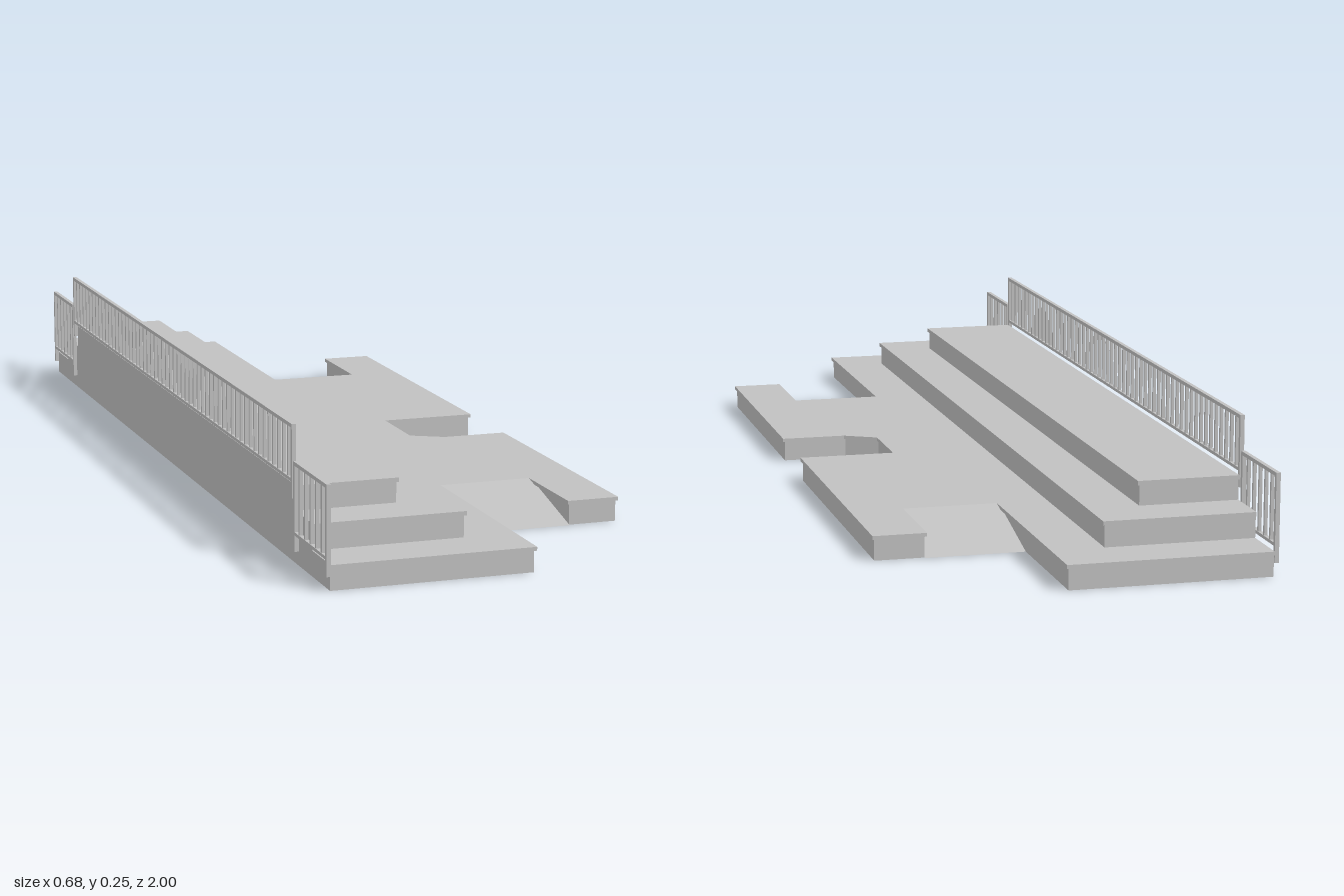
import * as THREE from 'three';

export function createModel() {
  const model = new THREE.Group();
  const concrete = new THREE.MeshStandardMaterial({ color: 0xc0c0c0 });
  concrete.name = 'concrete grey';
  const sheet = new THREE.MeshStandardMaterial({ color: 0xc0c0c0, side: THREE.DoubleSide });
  sheet.name = 'ramp grey';

  // box given by its min and max corners
  function box(parent, name, x0, x1, y0, y1, z0, z1) {
    const mesh = new THREE.Mesh(new THREE.BoxGeometry(x1 - x0, y1 - y0, z1 - z0), concrete);
    mesh.position.set((x0 + x1) / 2, (y0 + y1) / 2, (z0 + z1) / 2);
    mesh.name = name;
    parent.add(mesh);
  }

  // ground platform plan (x, z), pulled in by d, with ramp cut-outs and a front notch
  function platform(name, d, y0, y1) {
    const plan = [
      [-0.33, 1 - d], [0.053 - d, 1 - d], [0.053 - d, 0.52 - d], [0.235 + d, 0.52 - d],
      [0.235 + d, 0.712 - d], [0.337 - d, 0.712 - d], [0.337 - d, 0.135 + d],
      [0.208 - d, 0.135 + d], [0.145 - d, 0.1 + d], [0.145 - d, -0.05 - d], [0.337 - d, -0.05 - d],
      [0.337 - d, -0.717 + d], [0.235 + d, -0.717 + d], [0.235 + d, -0.525 + d],
      [0.053 - d, -0.525 + d], [0.053 - d, -1 + d], [-0.33, -1 + d],
    ];
    const shape = new THREE.Shape(plan.map(([x, z]) => new THREE.Vector2(x, -z)));
    const geo = new THREE.ExtrudeGeometry(shape, { depth: y1 - y0, bevelEnabled: false });
    geo.rotateX(-Math.PI / 2);
    const mesh = new THREE.Mesh(geo, concrete);
    mesh.position.y = y0;
    mesh.name = name;
    model.add(mesh);
  }
  platform('platformBase', 0.004, 0, 0.04);
  platform('platformSlab', 0, 0.04, 0.047);

  // two stepped tiers, each with an overhanging slab
  [[-0.042, 0.902, 0.047, 0.096], [-0.136, 0.808, 0.096, 0.143]].forEach(([x, z, y0, y1]) => {
    const tier = new THREE.Group();
    tier.name = 'tier';
    box(tier, 'tierBody', -0.33, x - 0.004, y0, y1 - 0.008, -z + 0.004, z - 0.004);
    box(tier, 'tierSlab', -0.33, x, y1 - 0.008, y1, -z, z);
    model.add(tier);
  });

  // sloping ramps, open underneath
  [[0.712, 0.52], [-0.717, -0.525]].forEach(([zOut, zIn]) => {
    const geo = new THREE.BufferGeometry();
    geo.setAttribute('position', new THREE.Float32BufferAttribute([
      0.049, 0, zOut, 0.239, 0, zOut, 0.239, 0.047, zIn, 0.049, 0.047, zIn], 3));
    geo.setIndex(zOut > 0 ? [0, 1, 2, 0, 2, 3] : [0, 2, 1, 0, 3, 2]);
    geo.computeVertexNormals();
    const ramp = new THREE.Mesh(geo, sheet);
    ramp.name = 'ramp';
    model.add(ramp);
  });

  // railing with top and bottom rails, balusters and end posts fixed to the wall
  function railing(name, z0, z1, foot, bottom, top) {
    const rail = new THREE.Group();
    rail.name = name;
    const x0 = -0.338, x1 = -0.33;
    box(rail, 'topRail', x0, x1, top - 0.007, top, z0, z1);
    box(rail, 'bottomRail', x0, x1, bottom, bottom + 0.006, z0, z1);
    const n = Math.round((z1 - z0) / 0.029);
    for (let i = 1; i < n; i++) {
      const z = z0 + ((z1 - z0) * i) / n;
      box(rail, 'baluster', x0 + 0.001, x1 - 0.001, bottom + 0.006, top - 0.007, z - 0.003, z + 0.003);
    }
    [z0 + 0.004, z1 - 0.004].forEach((z) =>
      box(rail, 'post', x0, x1, foot, top - 0.007, z - 0.004, z + 0.004));
    model.add(rail);
  }
  railing('upperRailing', -0.808, 0.808, 0.12, 0.15, 0.255);
  railing('lowerRailingLeft', 0.815, 1, 0.026, 0.056, 0.19);
  railing('lowerRailingRight', -1, -0.815, 0.026, 0.056, 0.19);

  return model;
}
